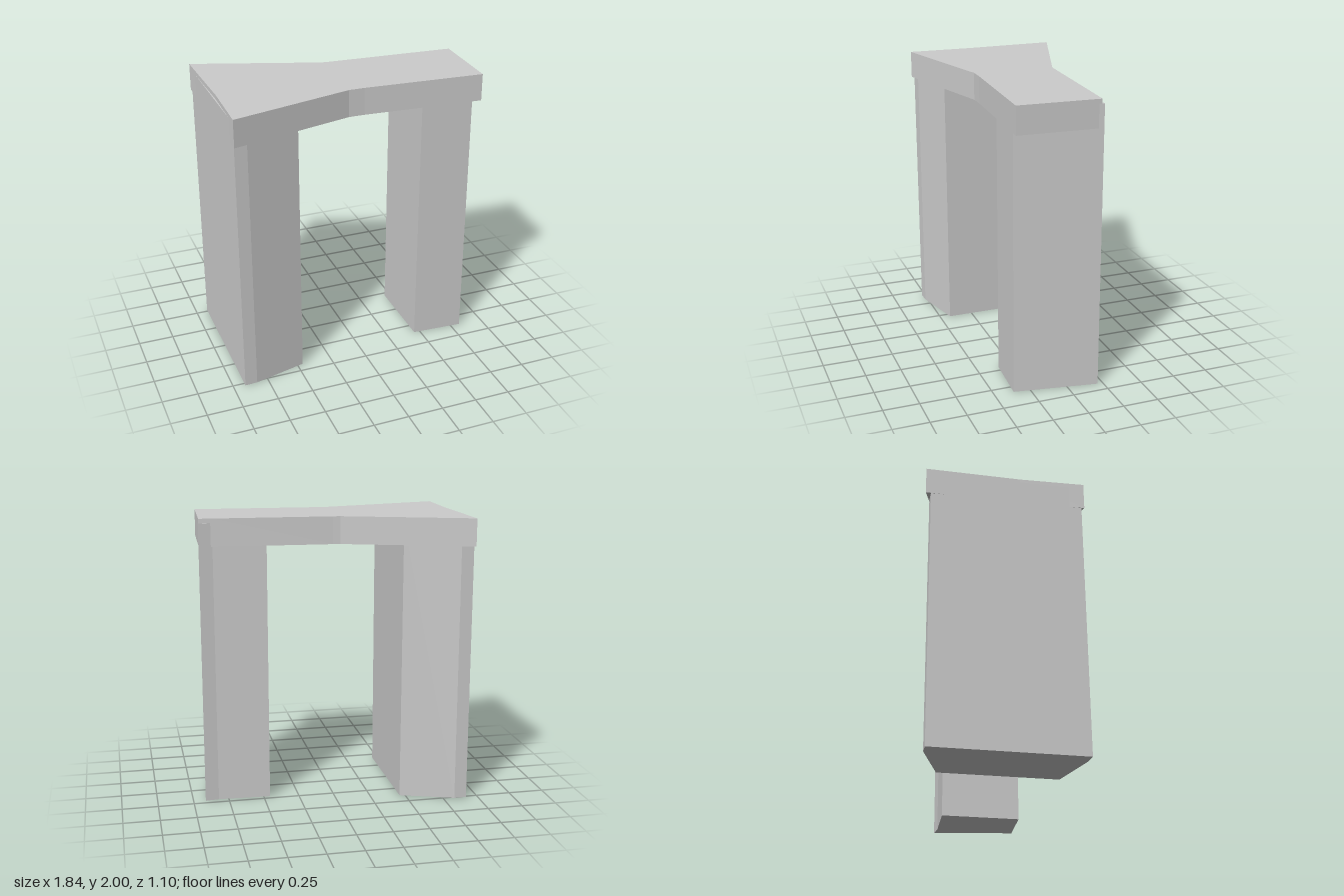
import * as THREE from 'three';

const material = new THREE.MeshStandardMaterial({ color: 0xcccccc, flatShading: true });

// Upright prism over a plan outline of [x, z] corners
function prism(name, plan, bottom, top) {
  const shape = new THREE.Shape(plan.map(([x, z]) => new THREE.Vector2(x, -z)));
  const geometry = new THREE.ExtrudeGeometry(shape, { depth: top - bottom, bevelEnabled: false });
  geometry.rotateX(-Math.PI / 2);
  geometry.translate(0, bottom, 0);
  const mesh = new THREE.Mesh(geometry, material);
  mesh.name = name;
  return mesh;
}

export function createModel() {
  const group = new THREE.Group();
  group.name = 'archway';
  const spring = 1.81; // underside of the lintel
  const pierTop = 1.97; // piers run up into the lintel

  // Wide pier, with slightly turned outer corners
  group.add(prism('widePier', [
    [-0.46, 0.425], [-0.83, 0.52], [-0.917, 0.525],
    [-0.917, -0.515], [-0.83, -0.515], [-0.46, -0.386],
  ], 0, pierTop));

  // Narrow pier, with a skewed outer face
  group.add(prism('narrowPier', [
    [0.455, 0.345], [0.82, 0.365], [0.915, -0.212],
    [0.82, -0.2], [0.455, -0.217],
  ], 0, pierTop));

  // Lintel, waisted in the middle and flaring over the wide pier
  group.add(prism('lintel', [
    [-0.92, 0.545], [-0.07, 0.325], [0.04, 0.325], [0.887, 0.37],
    [0.91, -0.197], [0.82, -0.202], [0, -0.242], [-0.05, -0.247],
    [-0.92, -0.55], [-0.907, 0.1],
  ], spring, 2));

  return group;
}
